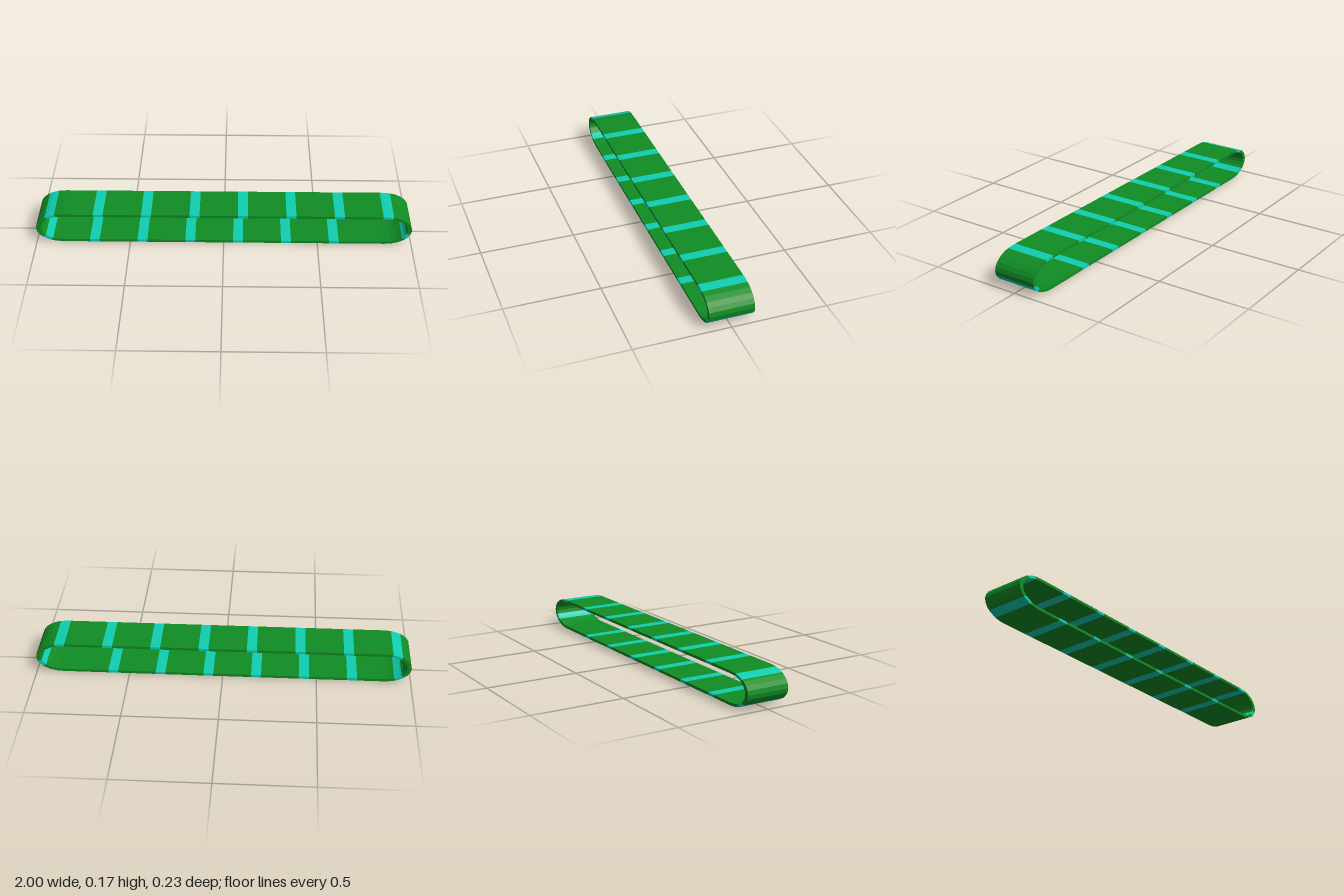
import * as THREE from 'three';

const STRETCH = 1.63;            // the loop is lengthened along x
const R_OUT = 0.086, R_IN = 0.072, R_MID = 0.079;
const HALF = 1 / STRETCH - R_OUT; // half of the straight run
const STRAIGHT = 2 * HALF, ARC = Math.PI * R_MID;
const TOTAL = 2 * (STRAIGHT + ARC);
const HALF_WIDTH = 0.117;
const FACETS = 12;               // per rounded end
const STRIPES = 16, STEP = 0.157, STRIPE = 0.0325, FIRST = 1.218;

// Point on the loop at distance s (clockwise from the top left), at radius r
function loopPoint(s, r) {
  s = ((s % TOTAL) + TOTAL) % TOTAL;
  let side = 1;
  if (s >= TOTAL / 2) { side = -1; s -= TOTAL / 2; }
  let x, y;
  if (s < STRAIGHT) {
    x = s - HALF;
    y = r;
  } else {
    const a = (s - STRAIGHT) / R_MID;
    x = HALF + r * Math.sin(a);
    y = r * Math.cos(a);
  }
  return [side * x * STRETCH, R_OUT + side * y];
}

// Distances where the loop bends
const bends = [];
for (let turn = -1; turn <= 1; turn++) {
  for (let end = 0; end < 2; end++) {
    for (let i = 0; i <= FACETS; i++) {
      bends.push(turn * TOTAL + end * TOTAL / 2 + STRAIGHT + ARC * i / FACETS);
    }
  }
}

// One length of belt: outer face, inner face and both rims
function addRun(out, from, to) {
  const stops = [from, ...bends.filter(b => b > from + 1e-4 && b < to - 1e-4), to];
  for (let i = 0; i < stops.length - 1; i++) {
    const corners = [stops[i], stops[i + 1]].map(s => {
      const o = loopPoint(s, R_OUT), n = loopPoint(s, R_IN);
      return [[...o, HALF_WIDTH], [...o, -HALF_WIDTH], [...n, -HALF_WIDTH], [...n, HALF_WIDTH]];
    });
    for (let k = 0; k < 4; k++) {
      const a = corners[0][k], b = corners[1][k];
      const c = corners[1][(k + 1) % 4], d = corners[0][(k + 1) % 4];
      out.push(...a, ...b, ...c, ...a, ...c, ...d);
    }
  }
}

function makeMesh(name, positions, material) {
  const geometry = new THREE.BufferGeometry();
  geometry.setAttribute('position', new THREE.Float32BufferAttribute(positions, 3));
  geometry.computeVertexNormals();
  const mesh = new THREE.Mesh(geometry, material);
  mesh.name = name;
  return mesh;
}

export function createModel() {
  const green = new THREE.MeshStandardMaterial({ color: 0x108c24 });
  green.name = 'belt green';
  const teal = new THREE.MeshStandardMaterial({ color: 0x10ceb0 });
  teal.name = 'stripe teal';

  const belt = [], stripes = [];
  for (let j = 0; j < STRIPES; j++) {
    const c = FIRST - j * STEP;
    addRun(stripes, c - STRIPE / 2, c + STRIPE / 2);
    // The last section closes the loop with a wider gap
    const previous = j < STRIPES - 1 ? c - STEP : FIRST - TOTAL;
    addRun(belt, previous + STRIPE / 2, c - STRIPE / 2);
  }

  const group = new THREE.Group();
  group.name = 'stripedBeltLoop';
  group.add(makeMesh('beltSections', belt, green), makeMesh('crossStripes', stripes, teal));
  return group;
}
